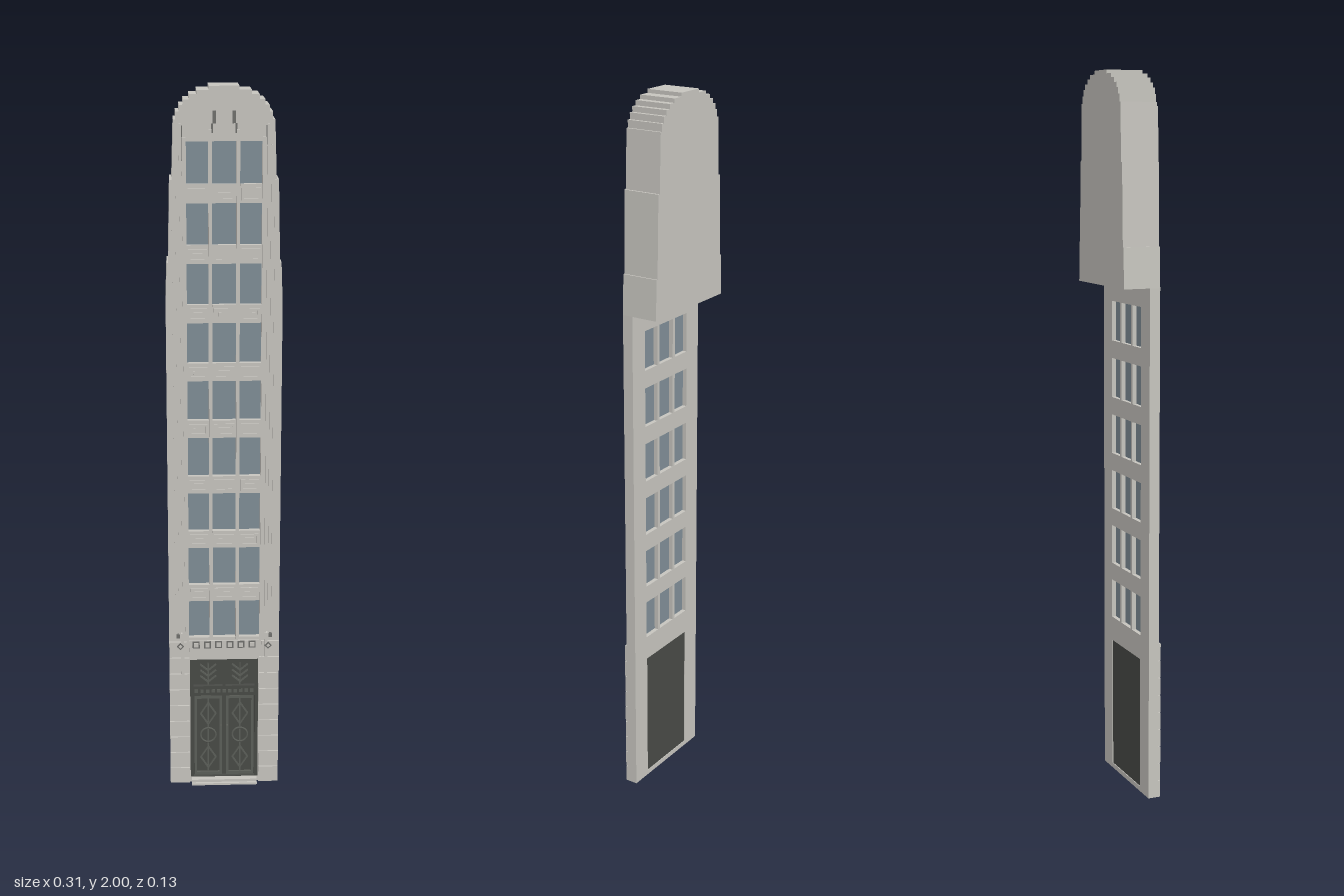
import * as THREE from 'three';

const mat = (name, color) => {
  const m = new THREE.MeshStandardMaterial({ color });
  m.name = name;
  return m;
};

export function createModel() {
  const stone = mat('stone', 0xc6c4be);
  const glass = mat('window glass', 0x7f8d96);
  const bronze = mat('dark bronze', 0x484a46);
  const relief = mat('bronze relief', 0x5b5e58);
  const recess = mat('dark recess', 0x6f6f6c);

  const model = new THREE.Group();
  model.name = 'tower';

  const add = (name, geometry, material, x = 0, y = 0, z = 0, parent = model) => {
    const mesh = new THREE.Mesh(geometry, material);
    mesh.name = name;
    mesh.position.set(x, y, z);
    parent.add(mesh);
    return mesh;
  };
  // box given by its limits
  const box = (name, material, x0, x1, y0, y1, z0, z1, parent = model) =>
    add(name, new THREE.BoxGeometry(x1 - x0, y1 - y0, z1 - z0), material,
      (x0 + x1) / 2, (y0 + y1) / 2, (z0 + z1) / 2, parent);
  const rect = (x0, x1, y0, y1) =>
    new THREE.Path([[x0, y0], [x1, y0], [x1, y1], [x0, y1]].map(p => new THREE.Vector2(...p)));
  const extrude = (shape, depth) =>
    new THREE.ExtrudeGeometry(shape, { depth, bevelEnabled: false });

  // stepped outline: right half, mirrored to the left
  const crown = [[0.157, 1.43], [0.153, 1.54], [0.149, 1.54], [0.144, 1.76], [0.138, 1.76],
    [0.133, 1.915], [0.127, 1.915], [0.127, 1.935], [0.118, 1.935], [0.118, 1.952],
    [0.107, 1.952], [0.107, 1.966], [0.092, 1.966], [0.092, 1.979], [0.072, 1.979],
    [0.072, 1.99], [0.04, 1.99], [0.04, 2.0]];
  const outline = half => new THREE.Shape(
    [...half, ...half.slice().reverse().map(([x, y]) => [-x, y])].map(p => new THREE.Vector2(...p)));

  // front wall with openings
  const columns = [[-0.1, -0.042], [-0.032, 0.032], [0.042, 0.1]];
  const rows = Array.from({ length: 9 }, (_, i) => 0.46 + i * 0.161);
  const H = 0.111;
  const wall = outline([[0.157, 0], ...crown]);
  for (const y of rows) for (const [a, b] of columns) wall.holes.push(rect(a, b, y, y + H));
  wall.holes.push(rect(-0.098, 0.098, 0.014, 0.39));
  add('frontWall', extrude(wall, 0.03), stone, 0, 0, 0.01);

  // deep upper block behind the wall
  add('upperBlock', extrude(outline(crown), 0.075), stone, 0, 0, -0.065);

  // windows, sills and spandrel panels
  const windows = new THREE.Group();
  windows.name = 'windows';
  model.add(windows);
  rows.forEach((y, i) => {
    for (const [a, b] of columns) {
      box('windowPane', glass, a, b, y, y + H, 0.022, 0.026, windows);
      box('windowSill', stone, a, b, y - 0.005, y + 0.001, 0.038, 0.044, windows);
      if (i < 8) {
        const s = rect(a + 0.004, b - 0.004, y + H + 0.007, y + 0.151);
        const frame = new THREE.Shape(s.getPoints());
        frame.holes.push(rect(a + 0.01, b - 0.01, y + H + 0.013, y + 0.145));
        add('spandrelFrame', extrude(frame, 0.004), stone, 0, 0, 0.04, windows);
        box('spandrelPanel', stone, a + 0.016, b - 0.016, y + H + 0.018, y + 0.14, 0.04, 0.043, windows);
      }
    }
  });

  for (const s of [-1, 1]) {
    const rib = (name, x, w, y0, y1, z1, material = stone) =>
      box(name, material, s * x - w / 2, s * x + w / 2, y0, y1, 0.039, z1);
    // pilasters and edge ribs
    rib('innerPilaster', 0.037, 0.008, 0.455, 1.89, 0.047);
    rib('outerPilaster', 0.106, 0.01, 0.455, 1.87, 0.047);
    rib('edgeRib', 0.116, 0.005, 0.455, 1.905, 0.049);
    rib('edgeRib', 0.126, 0.005, 0.455, 1.85, 0.046);
    rib('edgeRib', 0.136, 0.005, 0.455, 1.76, 0.044);
    // shadow slits and crown slots
    rib('grooveStrip', 0.111, 0.002, 1.78, 1.9, 0.0425, recess);
    rib('crownSlot', 0.026, 0.009, 1.905, 1.937, 0.0415, recess);
    rib('crownSlotFoot', 0.032, 0.005, 1.88, 1.905, 0.0415, recess);
    // hanging ornaments on the corners of the base
    rib('pendant', 0.119, 0.009, 0.33, 0.475, 0.0515);
    rib('pendantTip', 0.119, 0.005, 0.315, 0.33, 0.049);
    const diamond = add('diamond', new THREE.BoxGeometry(0.015, 0.015, 0.003), recess, s * 0.125, 0.437, 0.052);
    diamond.rotation.z = Math.PI / 4;
    add('diamondCentre', new THREE.BoxGeometry(0.008, 0.008, 0.003), stone, s * 0.125, 0.437, 0.053)
      .rotation.z = Math.PI / 4;
    box('cornerStud', recess, s * 0.131 - 0.005, s * 0.131 + 0.005, 0.461, 0.472, 0.039, 0.048);

    // coursed masonry of the base
    const courses = 9, h = 0.45 / courses;
    for (let i = 0; i < courses; i++) {
      const inner = i < 8 ? 0.1 : 0.106;
      const xs = [s * inner, s * 0.157].sort((a, b) => a - b);
      box('masonryCourse', stone, xs[0], xs[1], i * h, (i + 1) * h - 0.0025, 0.039, 0.046);
    }
  }

  // lintel with a row of small blocks
  box('lintel', stone, -0.1, 0.1, 0.392, 0.45, 0.039, 0.045);
  for (let i = 0; i < 6; i++) {
    const x = -0.08 + i * 0.032;
    box('lintelBlock', recess, x - 0.01, x + 0.01, 0.428, 0.449, 0.044, 0.047);
    box('lintelBlockFace', stone, x - 0.006, x + 0.006, 0.432, 0.445, 0.046, 0.049);
  }

  // entrance: backing, frame, transom and two leaves
  const door = new THREE.Group();
  door.name = 'entrance';
  model.add(door);
  box('doorBacking', bronze, -0.098, 0.098, 0.014, 0.39, 0.012, 0.026, door);
  const surround = new THREE.Shape(rect(-0.098, 0.098, 0.014, 0.39).getPoints());
  surround.holes.push(rect(-0.088, 0.088, 0.016, 0.275), rect(-0.088, -0.004, 0.305, 0.38),
    rect(0.004, 0.088, 0.305, 0.38));
  add('doorFrame', extrude(surround, 0.012), bronze, 0, 0, 0.026, door);
  for (let i = 0; i < 11; i++) {
    const x = -0.08 + i * 0.016;
    box('transomStud', relief, x - 0.005, x + 0.005, 0.285, 0.295, 0.037, 0.04, door);
  }
  const bar = (x, y, w, angle) => {
    const b = add('reliefBar', new THREE.BoxGeometry(w, 0.004, 0.005), relief, x, y, 0.031, door);
    b.rotation.z = angle;
  };
  for (const s of [-1, 1]) {
    // chevrons over the door
    const cx = s * 0.046;
    for (const y of [0.325, 0.343, 0.361]) {
      bar(cx - 0.011, y, 0.03, -0.7);
      bar(cx + 0.011, y, 0.03, 0.7);
    }
    box('transomStem', relief, cx - 0.002, cx + 0.002, 0.307, 0.378, 0.026, 0.032, door);
    // leaf border, rings and lozenges
    const leaf = new THREE.Shape(rect(cx - 0.04, cx + 0.04, 0.018, 0.272).getPoints());
    leaf.holes.push(rect(cx - 0.033, cx + 0.033, 0.027, 0.263));
    add('doorLeafBorder', extrude(leaf, 0.007), relief, 0, 0, 0.026, door);
    add('doorRing', new THREE.TorusGeometry(0.022, 0.003, 6, 24), relief, cx, 0.145, 0.029, door);
    for (const y of [0.075, 0.215]) {
      for (const [dx, dy, a] of [[1, 1, -1], [-1, 1, 1], [1, -1, 1], [-1, -1, -1]])
        bar(cx + dx * 0.011, y + dy * 0.017, 0.042, a);
    }
    box('leafStem', relief, cx - 0.002, cx + 0.002, 0.027, 0.263, 0.026, 0.03, door);
    box('doorHandle', relief, s * 0.009 - 0.002, s * 0.009 + 0.002, 0.11, 0.18, 0.026, 0.04, door);
  }

  // entrance steps
  box('lowerStep', stone, -0.095, 0.095, 0, 0.006, 0.01, 0.065);
  box('upperStep', stone, -0.095, 0.095, 0.006, 0.014, 0.012, 0.057);
  return model;
}
